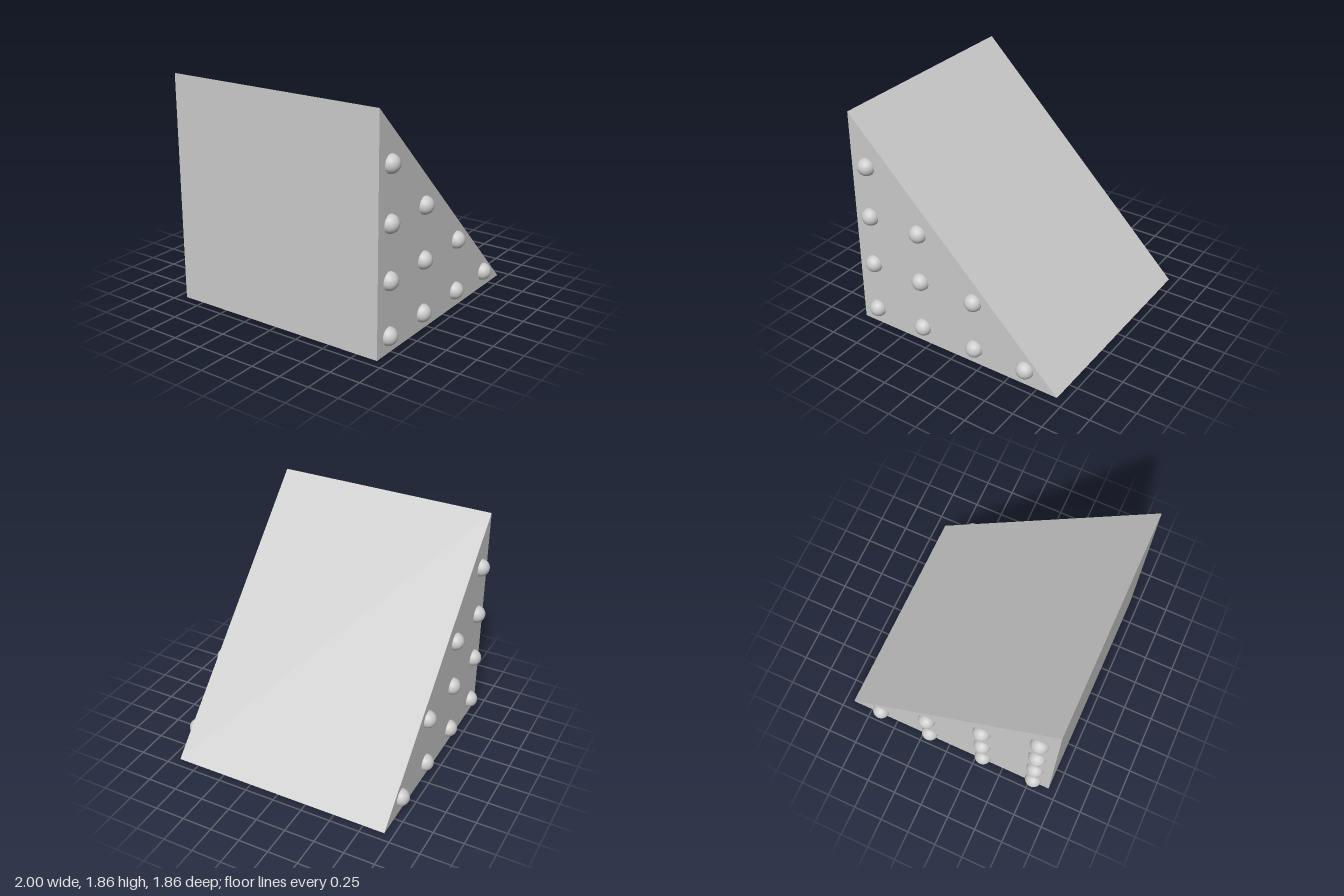
import * as THREE from 'three';

const HALF = 0.928; // half the width, depth and height of the wedge
const STUD_RADIUS = 0.072;

export function createModel() {
  const group = new THREE.Group();
  const material = new THREE.MeshStandardMaterial({ color: 0xcccccc });

  // Triangular prism: upright front, flat base, sloping back
  const profile = new THREE.Shape([
    new THREE.Vector2(-HALF, 0),
    new THREE.Vector2(HALF, 0),
    new THREE.Vector2(HALF, HALF * 2),
  ]);
  const wedgeGeometry = new THREE.ExtrudeGeometry(profile, { depth: HALF * 2, bevelEnabled: false });
  wedgeGeometry.translate(0, 0, -HALF);
  wedgeGeometry.rotateY(-Math.PI / 2); // profile x becomes z
  const wedge = new THREE.Mesh(wedgeGeometry, material);
  wedge.name = 'wedge';
  group.add(wedge);

  // Round studs in rows of 4, 3, 2, 1, half sunk into both triangular sides
  const columns = [0.783, 0.318, -0.179, -0.644];
  const rows = [0.139, 0.571, 1.003, 1.438];
  const studGeometry = new THREE.SphereGeometry(STUD_RADIUS, 32, 20);
  for (const side of [-1, 1]) {
    const studs = new THREE.Group();
    studs.name = side > 0 ? 'leftStuds' : 'rightStuds';
    rows.forEach((y, row) => {
      for (const z of columns.slice(0, columns.length - row)) {
        const stud = new THREE.Mesh(studGeometry, material);
        stud.name = 'stud';
        stud.position.set(side * HALF, y, z);
        studs.add(stud);
      }
    });
    group.add(studs);
  }
  return group;
}
